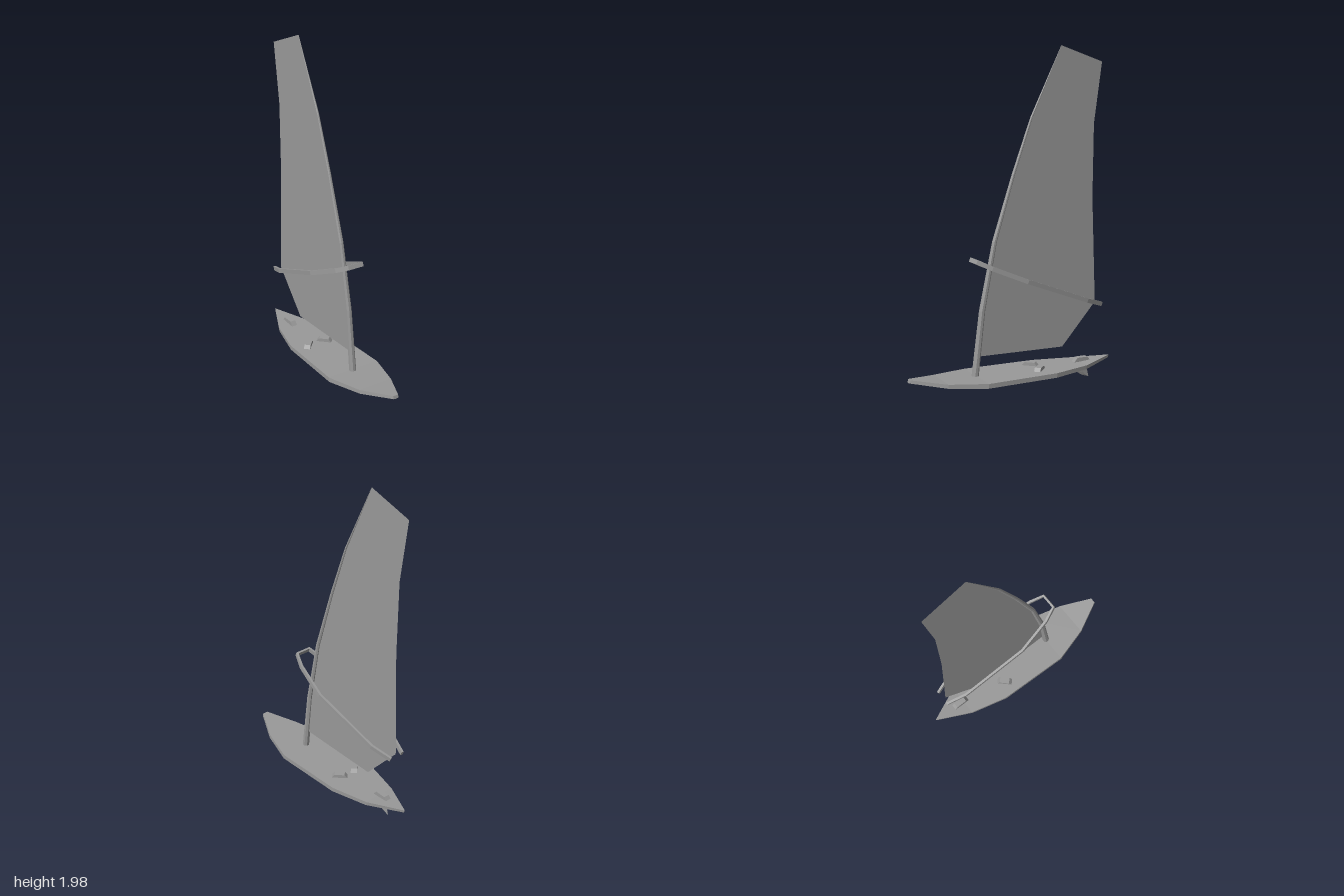
import * as THREE from 'three';

const V = (x, y, z) => new THREE.Vector3(x, y, z);
const MID = -0.008; // rig and fittings sit just off the board's centre line

// Skin a list of equal-sized rings (each turning right-handed about the travel direction), with end caps
function loft(rings) {
  const pos = [];
  const tri = (...pts) => pts.forEach(p => pos.push(p.x, p.y, p.z));
  const n = rings[0].length;
  for (let i = 0; i < rings.length - 1; i++) {
    for (let j = 0; j < n; j++) {
      const k = (j + 1) % n;
      const a = rings[i][j], b = rings[i][k], c = rings[i + 1][k], d = rings[i + 1][j];
      tri(a, b, c);
      tri(a, c, d);
    }
  }
  const first = rings[0], last = rings[rings.length - 1];
  for (let j = 1; j < n - 1; j++) {
    tri(first[0], first[j + 1], first[j]);
    tri(last[0], last[j], last[j + 1]);
  }
  const g = new THREE.BufferGeometry();
  g.setAttribute('position', new THREE.Float32BufferAttribute(pos, 3));
  g.computeVertexNormals();
  return g;
}

export function createModel() {
  const model = new THREE.Group();
  model.name = 'windsurfer';
  const solid = new THREE.MeshStandardMaterial({ color: 0x999999, flatShading: true });
  const cloth = new THREE.MeshStandardMaterial({ color: 0x999999, flatShading: true, side: THREE.DoubleSide });
  const add = (name, geometry, material = solid) => {
    const m = new THREE.Mesh(geometry, material);
    m.name = name;
    model.add(m);
    return m;
  };

  // Board: z, half width, deck, rail bottom, keel; the nose face leans forward below the deck
  const stations = [
    [0.645, 0.017, 0.134, 0.117, 0.114],
    [0.455, 0.11, 0.108, 0.086, 0.074],
    [0.235, 0.171, 0.099, 0.072, 0.06],
    [-0.21, 0.158, 0.099, 0.072, 0.058],
    [-0.44, 0.1, 0.101, 0.077, 0.066],
    [-0.653, 0.001, 0.117, 0.1, 0.099],
  ];
  add('board', loft(stations.map(([z, w, deck, rail, keel]) =>
    [V(-w, deck, z), V(w, deck, z), V(w, rail, z + 0.005), V(0, keel, z + 0.005), V(-w, rail, z + 0.005)])));

  // Mast: y, z, radius
  const mastPath = [
    [0.095, 0.24, 0.021], [0.475, 0.194, 0.018], [0.87, 0.114, 0.014],
    [1.25, -0.007, 0.01], [1.57, -0.122, 0.007], [1.976, -0.315, 0.001],
  ];
  add('mast', loft(mastPath.map(([y, z, r]) =>
    Array.from({ length: 8 }, (_, i) => {
      const a = (i + 0.5) * Math.PI / 4;
      return V(MID + r * Math.sin(a), y, z + r * Math.cos(a));
    }))));

  // Sail: thin sheet whose front edge follows the mast, given as (z, y)
  const luff = mastPath.slice(1).map(([y, z]) => [z, y]);
  const outline = [[0.22, 0.21], ...luff, [-0.588, 1.885], [-0.537, 1.525],
    [-0.532, 1.09], [-0.556, 0.455], [-0.332, 0.203]];
  const sail = new THREE.ShapeGeometry(new THREE.Shape(outline.map(([z, y]) => new THREE.Vector2(z, y))));
  sail.rotateY(-Math.PI / 2).translate(MID, 0, 0);
  add('sail', sail, cloth);

  // Boom: rectangular bar looping round the front of the mast
  const side = [[0.044, 0.45, -0.57], [0.081, 0.49, -0.45], [0.112, 0.644, -0.04],
    [0.077, 0.731, 0.168], [0.046, 0.769, 0.246]];
  const boomPath = [...side.map(p => V(...p)), ...side.map(([x, y, z]) => V(-x, y, z)).reverse()];
  const up = V(0, 0.93, -0.37);
  add('boom', loft(boomPath.map((p, i) => {
    const prev = boomPath[Math.max(i - 1, 0)], next = boomPath[Math.min(i + 1, boomPath.length - 1)];
    const before = p.clone().sub(prev).normalize(), after = next.clone().sub(p).normalize();
    const out = up.clone().cross(before.add(after)).normalize();
    return [[1, -1], [1, 1], [-1, 1], [-1, -1]].map(([o, u]) =>
      p.clone().addScaledVector(out, o * 0.007).addScaledVector(up, u * 0.013));
  })));

  // Fin: y, front z, back z, half thickness
  const finSections = [[0.08, -0.405, -0.503, 0.01], [0.035, -0.432, -0.506, 0.007],
    [0.012, -0.468, -0.511, 0.004], [0, -0.505, -0.515, 0.001]];
  add('fin', loft(finSections.map(([y, f, b, t]) => {
    const m = (f + b) / 2, x = -0.004;
    return [V(x + t, y, m), V(x, y, f), V(x - t, y, m), V(x, y, b)];
  })));

  // Foot straps: low solid wedges with sloping ends on the deck
  const strap = (name, x, y, z, angle, length, height, width) => {
    const l = length / 2, top = l * 0.62;
    const shape = new THREE.Shape([[-l, 0], [l, 0], [top, height], [-top, height]]
      .map(p => new THREE.Vector2(...p)));
    const g = new THREE.ExtrudeGeometry(shape, { depth: width, bevelEnabled: false });
    g.translate(0, 0, -width / 2);
    const m = add(name, g);
    m.position.set(x, y, z);
    m.rotation.y = angle;
  };
  strap('rearFootStrap', -0.005, 0.099, -0.462, Math.PI / 2, 0.112, 0.027, 0.035);
  for (const s of [1, -1]) {
    strap(s > 0 ? 'leftFootStrap' : 'rightFootStrap', MID + s * 0.058, 0.097, -0.148, -s * 0.8, 0.096, 0.022, 0.038);
  }
  return model;
}
